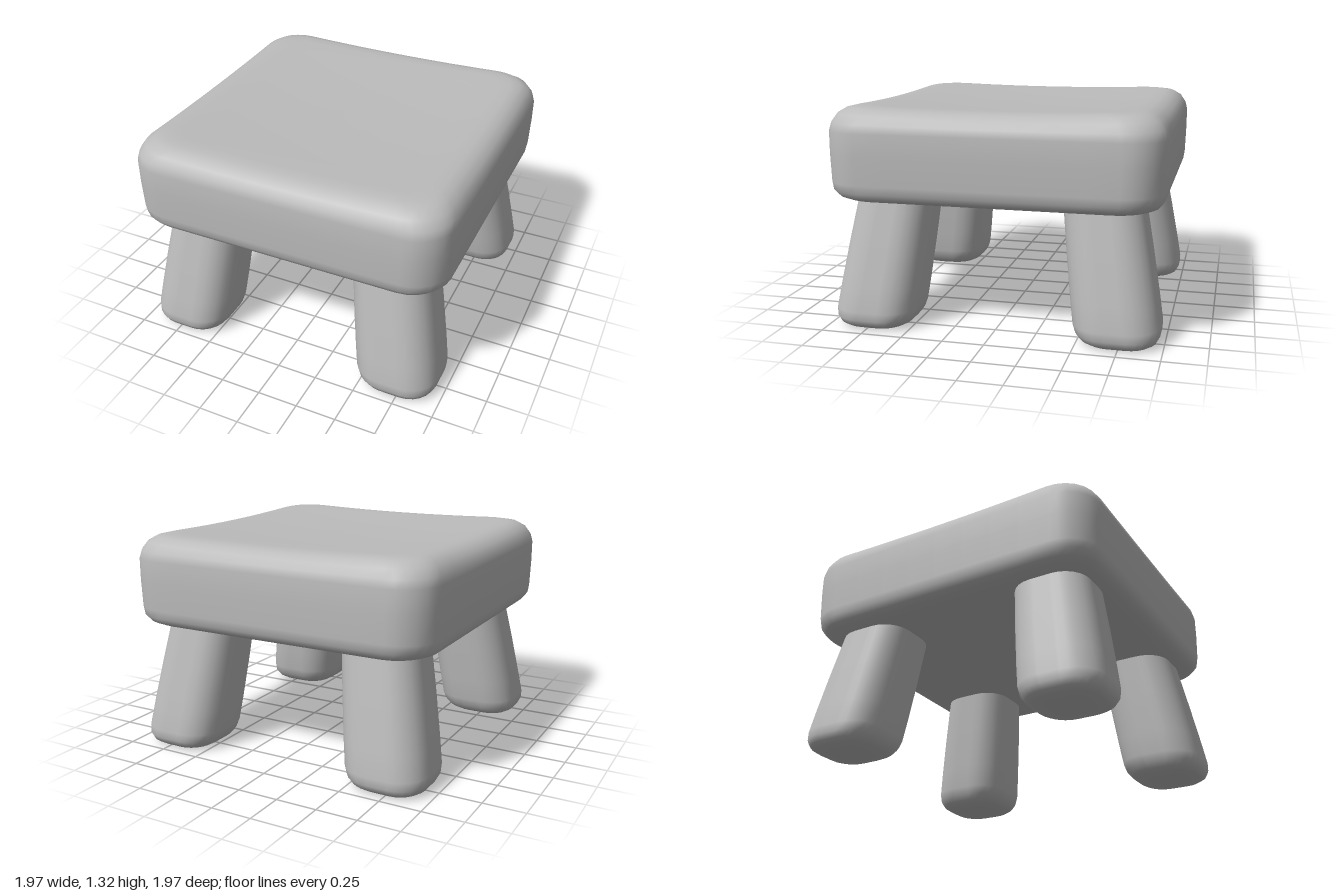
import * as THREE from 'three';

// Rounded-square outline: half width h, corner radius r
function ring(h, r) {
  const pts = [], c = h - r;
  for (let q = 0; q < 4; q++) {
    const a0 = q * Math.PI / 2;
    const cx = c * Math.sign(Math.cos(a0 + Math.PI / 4));
    const cz = c * Math.sign(Math.sin(a0 + Math.PI / 4));
    for (let i = 0; i <= 6; i++) {
      const a = a0 + i * Math.PI / 12;
      pts.push([cx + r * Math.cos(a), cz + r * Math.sin(a)]);
    }
    // straight stretch towards the next corner
    const [ex, ez] = pts[pts.length - 1];
    const dx = -Math.sin(a0 + Math.PI / 2), dz = Math.cos(a0 + Math.PI / 2);
    for (let i = 1; i < 8; i++) pts.push([ex + dx * 2 * c * i / 8, ez + dz * 2 * c * i / 8]);
  }
  return pts;
}

// Skin over stacked rings [halfWidth, y], listed from bottom to top
function loft(sections, roundness, place) {
  const pos = [], idx = [];
  let n = 0;
  sections.forEach(([h, y]) => {
    const pts = ring(h, h * roundness);
    n = pts.length;
    pts.forEach(([x, z]) => pos.push(...place(x, y, z)));
  });
  for (let s = 0; s < sections.length - 1; s++) {
    for (let j = 0; j < n; j++) {
      const a = s * n + j, b = s * n + (j + 1) % n, c = a + n, d = b + n;
      idx.push(a, c, b, b, c, d);
    }
  }
  const g = new THREE.BufferGeometry();
  g.setAttribute('position', new THREE.Float32BufferAttribute(pos, 3));
  g.setIndex(idx);
  g.computeVertexNormals();
  return g;
}

export function createModel() {
  const model = new THREE.Group();
  model.name = 'stool';
  const grey = new THREE.MeshStandardMaterial({ color: 0xbcbcbc });
  grey.name = 'plain grey';

  // Thick cushion-like seat with a gently dished top
  const seatSections = [
    [0.001, 0.77], [0.5, 0.77], [0.86, 0.77], [0.91, 0.775], [0.95, 0.795],
    [0.975, 0.83], [0.982, 0.88], [0.987, 1.05], [0.987, 1.18], [0.975, 1.23],
    [0.945, 1.28], [0.9, 1.312], [0.85, 1.325], [0.78, 1.33], [0.65, 1.33],
    [0.5, 1.33], [0.35, 1.33], [0.2, 1.33], [0.001, 1.33],
  ];
  const dip = (v) => Math.max(0, 1 - (v / 0.85) ** 2);
  const seat = new THREE.Mesh(loft(seatSections, 0.23, (x, y, z) => {
    const top = THREE.MathUtils.smoothstep(y, 1.18, 1.33);
    return [x, y - 0.02 * top * (dip(x) + dip(z)), z];
  }), grey);
  seat.name = 'seat';
  model.add(seat);

  // Four stubby splayed legs with softened feet
  const legSections = [
    [0.001, 0], [0.12, 0], [0.185, 0.004], [0.22, 0.025], [0.243, 0.06],
    [0.252, 0.11], [0.25, 0.25], [0.243, 0.5], [0.232, 0.77], [0.228, 0.9],
  ];
  for (const sx of [-1, 1]) {
    for (const sz of [-1, 1]) {
      const leg = new THREE.Mesh(loft(legSections, 0.71, (x, y, z) => [
        x + sx * (0.722 - 0.15 * y), y, z + sz * (0.742 - 0.15 * y),
      ]), grey);
      leg.name = (sz > 0 ? 'front' : 'back') + (sx > 0 ? 'Left' : 'Right') + 'Leg';
      model.add(leg);
    }
  }
  return model;
}
